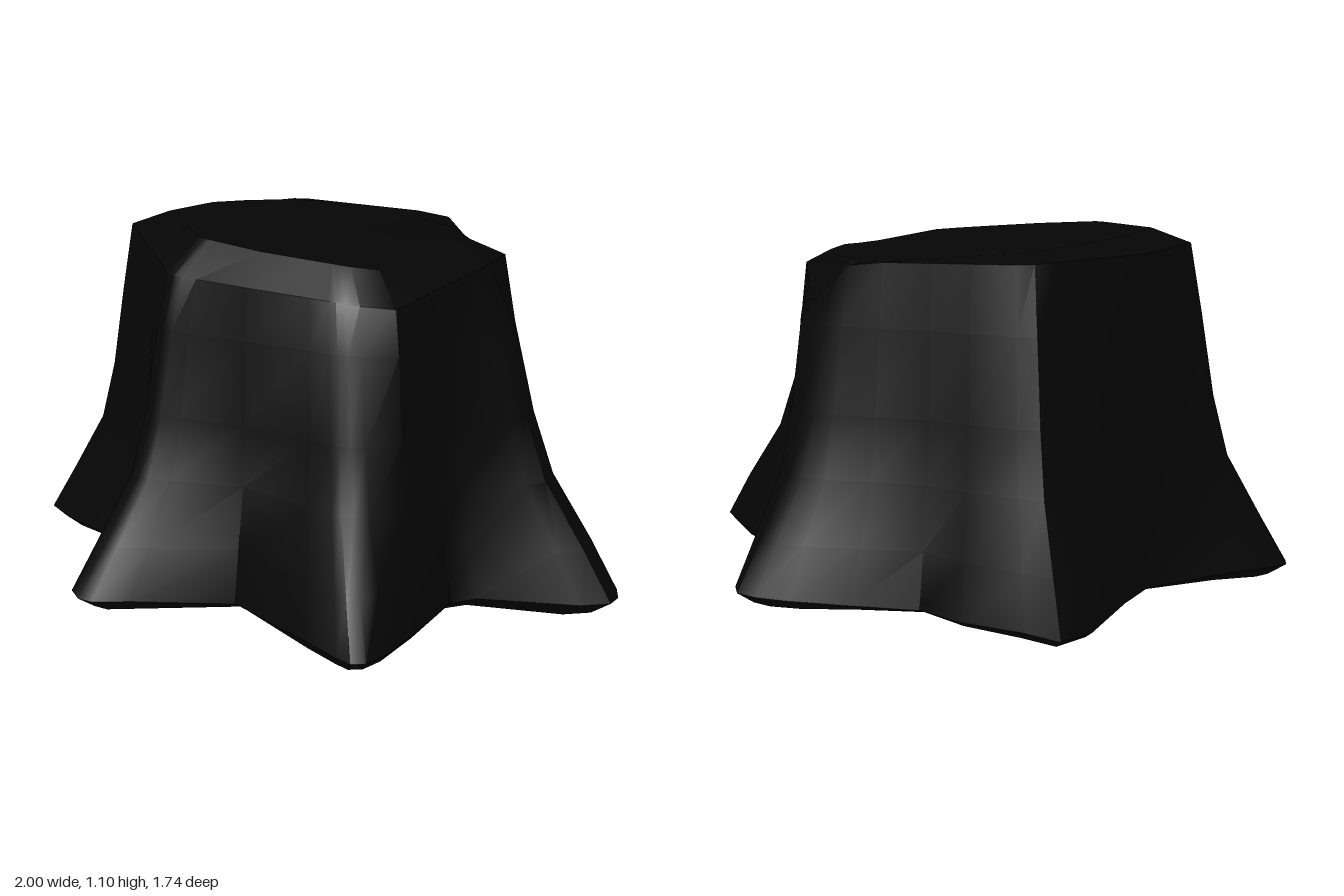
import * as THREE from 'three';
import { toCreasedNormals } from 'three/addons/utils/BufferGeometryUtils.js';

const CENTRE = [-0.08, -0.05];

// ground outline of the six flared roots, as x, z pairs
const ROOT_OUTLINE = [
  [0.9, -0.01], [0.98, 0.08], [1.0, 0.14], [0.99, 0.19], [0.91, 0.24], [0.6, 0.3], [0.535, 0.36],
  [0.52, 0.6], [0.49, 0.78], [0.46, 0.85], [0.42, 0.87], [0.37, 0.85], [0.25, 0.79], [-0.07, 0.61],
  [-0.35, 0.75], [-0.46, 0.805], [-0.51, 0.8], [-0.56, 0.755], [-0.575, 0.45], [-0.59, 0.33],
  [-0.75, 0.29], [-0.9, 0.24], [-0.99, 0.18], [-1.0, 0.14], [-0.97, 0.09], [-0.85, 0], [-0.65, -0.21],
  [-0.635, -0.4], [-0.65, -0.75], [-0.6, -0.87], [-0.48, -0.83], [-0.27, -0.78], [-0.1, -0.69],
  [0.1, -0.74], [0.28, -0.8], [0.38, -0.81], [0.45, -0.79], [0.49, -0.73], [0.53, -0.5], [0.56, -0.28],
];

// worn rim of the cut, as x, z and height, in the same turning direction
const RIM_OUTLINE = [
  [0.51, 0.1, 1.02], [0.38, 0.47, 0.97], [-0.05, 0.5, 1.0], [-0.35, 0.45, 1.0], [-0.68, 0.1, 1.06],
  [-0.63, -0.25, 1.05], [-0.39, -0.58, 1.04], [0.16, -0.58, 1.03], [0.32, -0.53, 0.9], [0.5, -0.22, 1.0],
];

// height and share of the root flare for each ring of the trunk
const TRUNK_RINGS = [[0.2, 0.73], [0.39, 0.4], [0.58, 0.25], [0.84, 0.12]];

// radius and height of the rim along a direction from the centre
function rimAlong(dx, dz) {
  for (let i = 0; i < RIM_OUTLINE.length; i++) {
    const a = RIM_OUTLINE[i], b = RIM_OUTLINE[(i + 1) % RIM_OUTLINE.length];
    const ax = a[0] - CENTRE[0], az = a[1] - CENTRE[1];
    const ex = b[0] - a[0], ez = b[1] - a[1];
    const det = dx * ez - dz * ex;
    const r = (ax * ez - az * ex) / det;
    const t = (ax * dz - az * dx) / det;
    if (r > 0 && t >= -1e-6 && t <= 1 + 1e-6) return { rim: r, rimY: a[2] + (b[2] - a[2]) * t };
  }
  return { rim: 0.55, rimY: 1 };
}

// tilted sawn surface and nearly flat underside
const cutHeight = (x, z) => 1.06 - 0.075 * x + 0.05 * z;
const baseHeight = (x, z) => 0.01 - 0.007 * x - 0.007 * z;

function stumpGeometry() {
  const spokes = ROOT_OUTLINE.map(([x, z]) => {
    const rx = x - CENTRE[0], rz = z - CENTRE[1];
    const root = Math.hypot(rx, rz);
    const dx = rx / root, dz = rz / root;
    return { dx, dz, root, ...rimAlong(dx, dz) };
  });
  // one ring from a radius rule and a height rule
  const ring = (radius, height) => spokes.map((s) => {
    const r = radius(s);
    const x = CENTRE[0] + s.dx * r, z = CENTRE[1] + s.dz * r;
    return [x, height(x, z, s), z];
  });

  // underside, root edge, trunk, worn rim and cut, from the bottom up
  const rings = [
    ring(() => 0.01, baseHeight),
    ring((s) => s.root * 0.94, baseHeight),
    ring((s) => s.root, (x, z, s) => 0.03 + 0.02 * THREE.MathUtils.smoothstep(s.root, 0.6, 0.9)),
    ...TRUNK_RINGS.map(([y, flare]) => ring((s) => {
      // the root on the left side bulges higher up the trunk
      const bulge = Math.max(0, s.dx) ** 4 * 0.33 * Math.sqrt(flare) * (1 - flare);
      return s.rim + (s.root - s.rim) * (flare + bulge);
    }, () => y)),
    ring((s) => s.rim, (x, z, s) => s.rimY),
    ring((s) => s.rim * 0.8, cutHeight),
    ring(() => 0.01, cutHeight),
  ];

  const n = spokes.length;
  const index = [];
  for (let j = 0; j < rings.length - 1; j++) {
    for (let i = 0; i < n; i++) {
      const a = j * n + i, b = j * n + (i + 1) % n;
      index.push(a, a + n, b, b, a + n, b + n);
    }
  }
  // close the small holes at both centres
  const last = (rings.length - 1) * n;
  for (let i = 1; i < n - 1; i++) {
    index.push(0, i, i + 1, last, last + i + 1, last + i);
  }
  const geometry = new THREE.BufferGeometry();
  geometry.setAttribute('position', new THREE.Float32BufferAttribute(rings.flat(2), 3));
  geometry.setIndex(index);
  return toCreasedNormals(geometry, 0.6);
}

export function createModel() {
  const group = new THREE.Group();
  group.name = 'treeStump';
  const bark = new THREE.MeshStandardMaterial({ color: 0x050505 });
  const stump = new THREE.Mesh(stumpGeometry(), bark);
  stump.name = 'trunkWithRoots';
  group.add(stump);
  return group;
}
